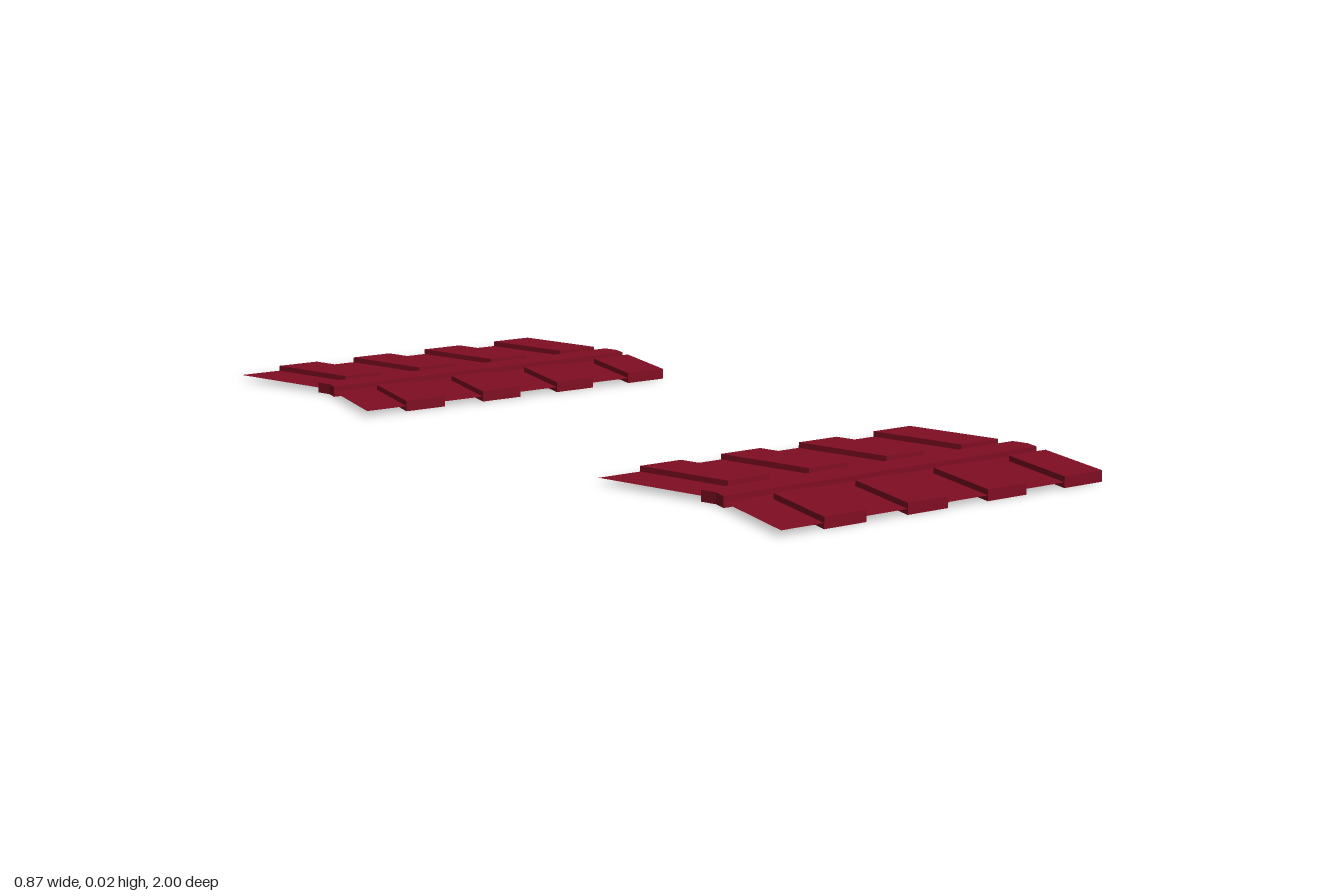
import * as THREE from 'three';

const HEIGHT = 0.023;     // thickness of the raised bars
const HALF = 0.2825;      // half depth of one pad
const SWEEP = 0.07;       // how far the chevron edges fall back
const CENTRE_Z = 0.7175;  // distance of each pad from the middle

export function createModel() {
  const red = new THREE.MeshStandardMaterial({ color: 0x800d22 });
  red.name = 'darkRed';
  const redSheet = red.clone();
  redSheet.name = 'darkRedSheet';
  redSheet.side = THREE.DoubleSide;

  // A swept strip between x0 and x1 (measured at the spine), through the given z offsets
  const sweptShape = (x0, x1, zs) => {
    const at = (x, z) => new THREE.Vector2(x - SWEEP * Math.abs(z) / HALF, z);
    return new THREE.Shape([
      ...zs.map((z) => at(x1, z)),
      ...[...zs].reverse().map((z) => at(x0, z)),
    ]);
  };

  // Shape in plan, extruded to the full height and laid flat
  const slab = (name, shape) => {
    const geo = new THREE.ExtrudeGeometry(shape, { depth: HEIGHT, bevelEnabled: false });
    geo.rotateX(Math.PI / 2).translate(0, HEIGHT, 0);
    const mesh = new THREE.Mesh(geo, red);
    mesh.name = name;
    return mesh;
  };

  const createPad = (name, z) => {
    const pad = new THREE.Group();
    pad.name = name;
    pad.position.z = z;

    // Thin chevron sheet at mid height
    const sheetGeo = new THREE.ShapeGeometry(sweptShape(-0.365, 0.435, [-HALF, 0, HALF]));
    sheetGeo.rotateX(Math.PI / 2).translate(0, HEIGHT / 2, 0);
    const sheet = new THREE.Mesh(sheetGeo, redSheet);
    sheet.name = 'chevronSheet';
    pad.add(sheet);

    // Central spine
    pad.add(slab('spine', sweptShape(-0.365, 0.435, [-0.035, 0, 0.035])));

    // Four slanted bars on either side of the spine
    for (let i = 0; i < 4; i++) {
      const x = -0.265 + i * 0.2;
      pad.add(slab('frontBar', sweptShape(x, x + 0.1, [0.07, HALF])));
      pad.add(slab('backBar', sweptShape(x, x + 0.1, [-HALF, -0.07])));
    }
    return pad;
  };

  const model = new THREE.Group();
  model.name = 'chevronPads';
  model.add(createPad('frontPad', CENTRE_Z), createPad('backPad', -CENTRE_Z));
  return model;
}
